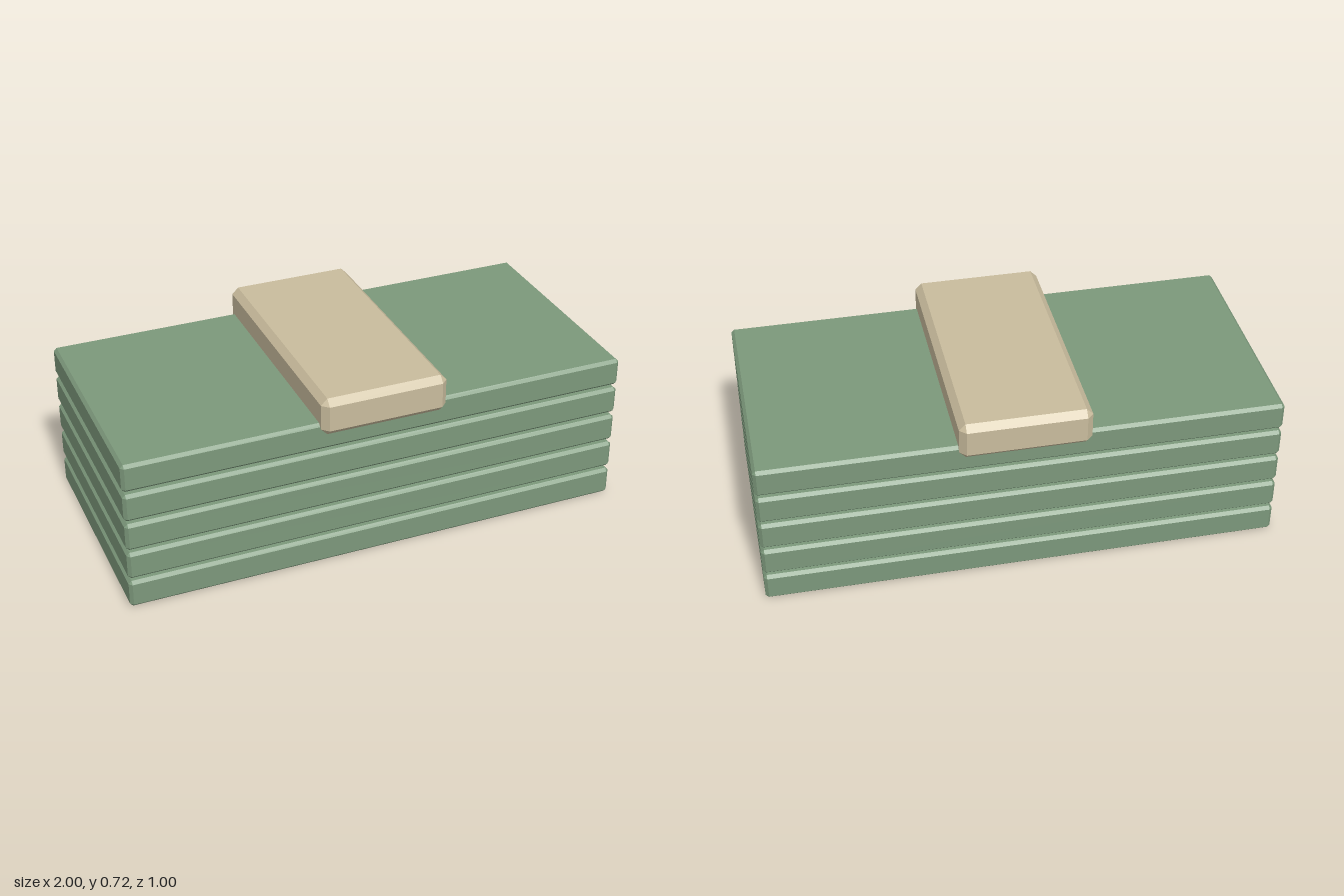
import * as THREE from 'three';
import { ConvexGeometry } from 'three/addons/geometries/ConvexGeometry.js';

// Box with every edge and corner chamfered by c
function chamferedBox(w, h, d, c) {
  const [x, y, z] = [w / 2, h / 2, d / 2];
  const points = [];
  for (const sx of [-1, 1]) for (const sy of [-1, 1]) for (const sz of [-1, 1]) {
    points.push(
      new THREE.Vector3(sx * x, sy * (y - c), sz * (z - c)),
      new THREE.Vector3(sx * (x - c), sy * y, sz * (z - c)),
      new THREE.Vector3(sx * (x - c), sy * (y - c), sz * z)
    );
  }
  return new ConvexGeometry(points);
}

export function createModel() {
  const model = new THREE.Group();
  model.name = 'bundledStack';

  const green = new THREE.MeshStandardMaterial({ color: 0x7c987b });
  green.name = 'sageGreen';
  const beige = new THREE.MeshStandardMaterial({ color: 0xc9bc9d });
  beige.name = 'paperBeige';

  // Five evenly spaced slabs
  const slabHeight = 0.112, pitch = 0.1253;
  const slabGeometry = chamferedBox(1.99, slabHeight, 0.936, 0.012);
  slabGeometry.scale(2 / 1.99, 1, 1);
  for (let i = 0; i < 5; i++) {
    const slab = new THREE.Mesh(slabGeometry, green);
    slab.name = `slab${i + 1}`;
    slab.position.y = slabHeight / 2 + i * pitch;
    model.add(slab);
  }

  // Wrapper band across the top slab
  const band = new THREE.Mesh(chamferedBox(0.5, 0.15, 1, 0.025), beige);
  band.name = 'band';
  band.position.y = 0.645;
  model.add(band);

  return model;
}
